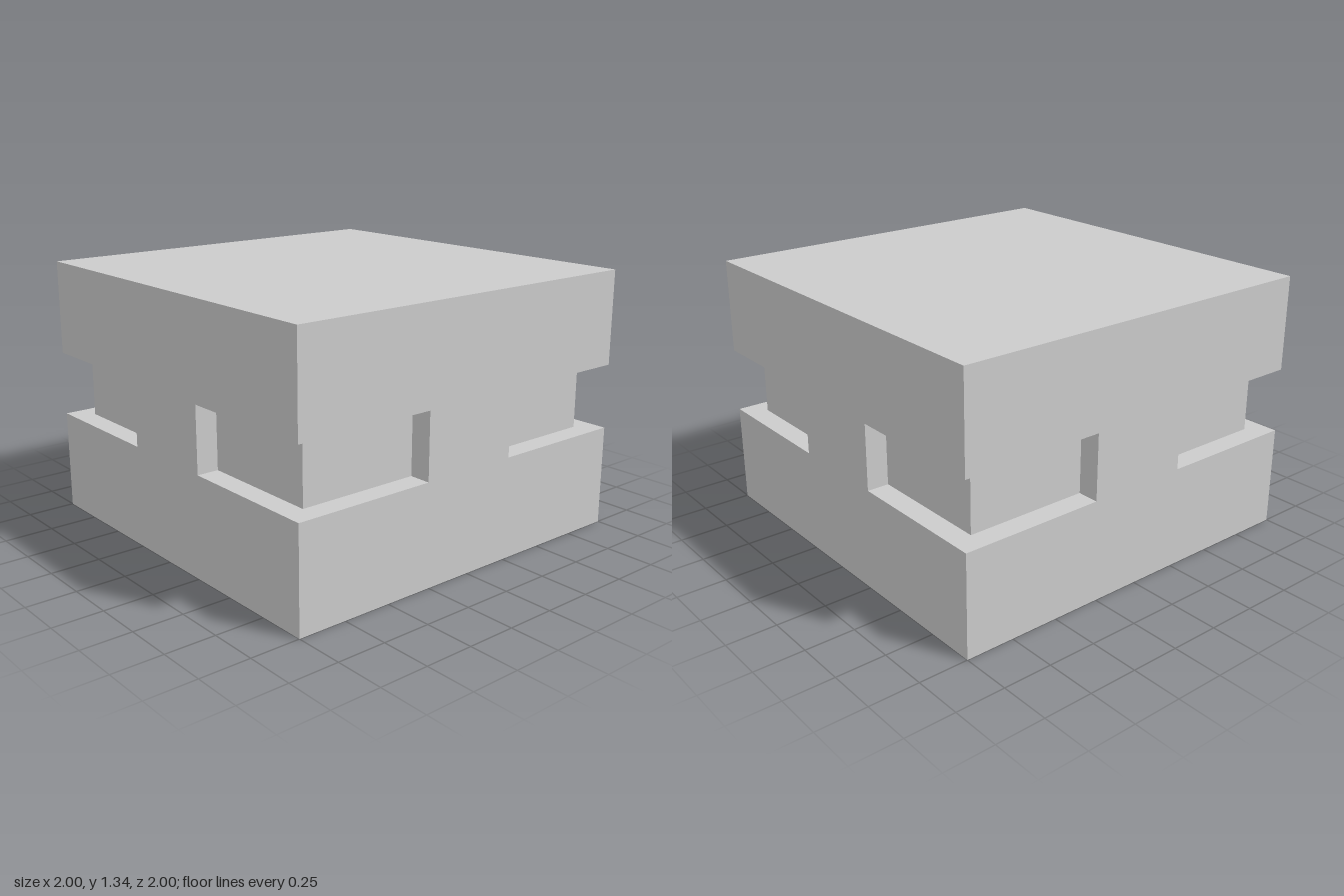
import * as THREE from 'three';

const HALF = 1;        // half width of the block
const HEIGHT = 1.335;
const SLOT_LOW = 0.517, SLOT_HIGH = 0.85; // fork pocket floor and ceiling
const INSET = 0.89;    // pocket back wall
const TAB = 0.265;     // half width of the solid middle of each side

const material = new THREE.MeshStandardMaterial({ color: 0xcccccc, flatShading: true });

function addMesh(parent, name, geometry) {
  const mesh = new THREE.Mesh(geometry, material);
  mesh.name = name;
  parent.add(mesh);
  return mesh;
}

const flatShape = (points) =>
  new THREE.ShapeGeometry(new THREE.Shape(points.map(([x, y]) => new THREE.Vector2(x, y))));

// Upright wall over the pocket height, running from p to q in plan (x, z)
function pocketWall([x0, z0], [x1, z1]) {
  const dx = x1 - x0, dz = z1 - z0;
  return new THREE.PlaneGeometry(Math.hypot(dx, dz), SLOT_HIGH - SLOT_LOW)
    .rotateY(Math.atan2(-dz, dx))
    .translate((x0 + x1) / 2, (SLOT_LOW + SLOT_HIGH) / 2, (z0 + z1) / 2);
}

// Outer side with a notch at each end
function sideFace() {
  return flatShape([
    [-HALF, 0], [HALF, 0], [HALF, SLOT_LOW], [TAB, SLOT_LOW],
    [TAB, SLOT_HIGH], [HALF, SLOT_HIGH], [HALF, HEIGHT], [-HALF, HEIGHT],
    [-HALF, SLOT_HIGH], [-TAB, SLOT_HIGH], [-TAB, SLOT_LOW], [-HALF, SLOT_LOW],
  ]).translate(0, 0, HALF);
}

// L-shaped pocket wrapped around the +x +z corner
function cornerPocket() {
  const pocket = new THREE.Group();
  pocket.name = 'cornerPocket';
  const inner = [[TAB, HALF], [TAB, INSET], [INSET, INSET], [INSET, TAB], [HALF, TAB]];
  const plan = [...inner, [HALF, HALF]];

  for (let i = 0; i < inner.length - 1; i++) {
    addMesh(pocket, 'pocketWall', pocketWall(inner[i], inner[i + 1]));
  }
  addMesh(pocket, 'pocketFloor',
    flatShape(plan.map(([x, z]) => [x, -z])).rotateX(-Math.PI / 2).translate(0, SLOT_LOW, 0));
  addMesh(pocket, 'pocketCeiling',
    flatShape(plan).rotateX(Math.PI / 2).translate(0, SLOT_HIGH, 0));
  return pocket;
}

export function createModel() {
  const model = new THREE.Group();
  model.name = 'notchedBlock';

  // Top and bottom
  const square = () => new THREE.PlaneGeometry(2 * HALF, 2 * HALF);
  addMesh(model, 'topFace', square().rotateX(-Math.PI / 2).translate(0, HEIGHT, 0));
  addMesh(model, 'bottomFace', square().rotateX(Math.PI / 2));

  // Four identical sides and corners
  for (let i = 0; i < 4; i++) {
    const quarter = new THREE.Group();
    quarter.name = 'quarter';
    addMesh(quarter, 'sideFace', sideFace());
    quarter.add(cornerPocket());
    quarter.rotation.y = i * Math.PI / 2;
    model.add(quarter);
  }
  return model;
}
